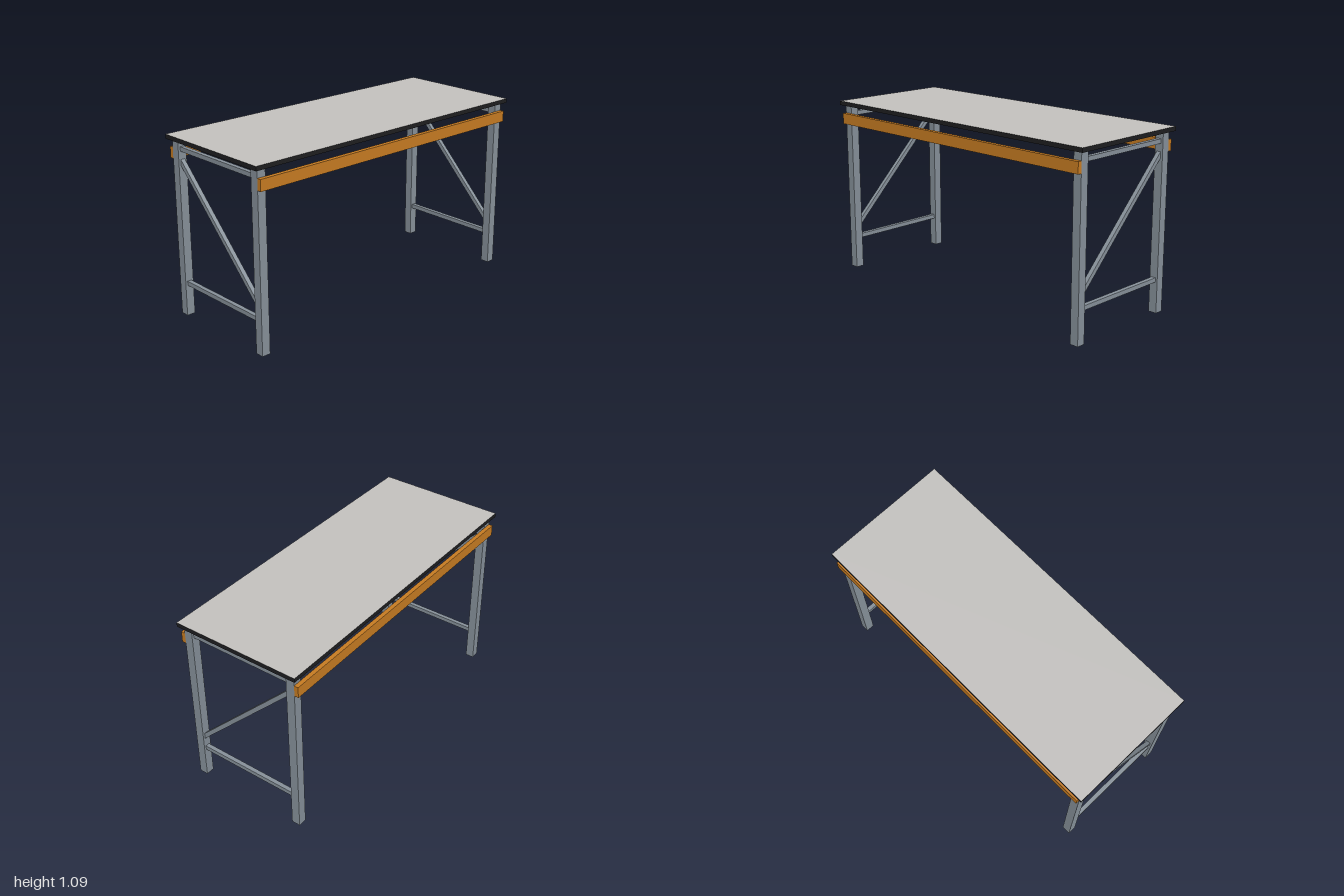
import * as THREE from 'three';

const material = (name, color) => {
  const m = new THREE.MeshStandardMaterial({ color });
  m.name = name;
  return m;
};

export function createModel() {
  const steel = material('grey steel', 0x87919a);
  const orange = material('orange beam', 0xc87c22);
  const laminate = material('pale grey worktop', 0xc4c2bf);
  const black = material('black edging', 0x1e1e20);

  const box = (parent, name, size, position, mat) => {
    const mesh = new THREE.Mesh(new THREE.BoxGeometry(...size), mat);
    mesh.name = name;
    mesh.position.set(...position);
    parent.add(mesh);
    return mesh;
  };

  const table = new THREE.Group();
  table.name = 'workbench';

  const height = 1.093, topThickness = 0.026;
  const legHeight = height - topThickness;
  const legSize = 0.053, legX = 0.947, legZ = 0.348;
  const bar = 0.0265;
  const span = 2 * legZ - legSize;

  // Worktop: pale upper face, black edges and underside
  box(table, 'worktop', [2, topThickness, 0.8], [0, height - topThickness / 2, 0],
    [black, black, laminate, black, black, black]);

  // End frames: two legs, two rails and a diagonal brace
  for (const side of [-1, 1]) {
    const frame = new THREE.Group();
    frame.name = side > 0 ? 'leftEndFrame' : 'rightEndFrame';
    frame.position.x = side * legX;
    for (const end of [-1, 1]) {
      box(frame, end > 0 ? 'frontLeg' : 'backLeg', [legSize, legHeight, legSize],
        [0, legHeight / 2, end * legZ], steel);
    }
    box(frame, 'upperRail', [bar, bar, span], [0, 1.015, 0], steel);
    box(frame, 'lowerRail', [bar, bar, span], [0, 0.201, 0], steel);
    // Ends of the brace are buried in the legs
    const brace = box(frame, 'diagonalBrace', [bar, bar, span * Math.SQRT2 + 0.035],
      [0, 0.614, 0], steel);
    brace.rotation.x = Math.PI / 4;
    table.add(frame);
  }

  // Long beams on the outside of the legs
  for (const end of [-1, 1]) {
    box(table, end > 0 ? 'frontBeam' : 'backBeam', [1.947, 0.067, bar],
      [0, 0.984, end * (legZ + legSize / 2 + bar / 2 - 0.001)], orange);
  }

  return table;
}
